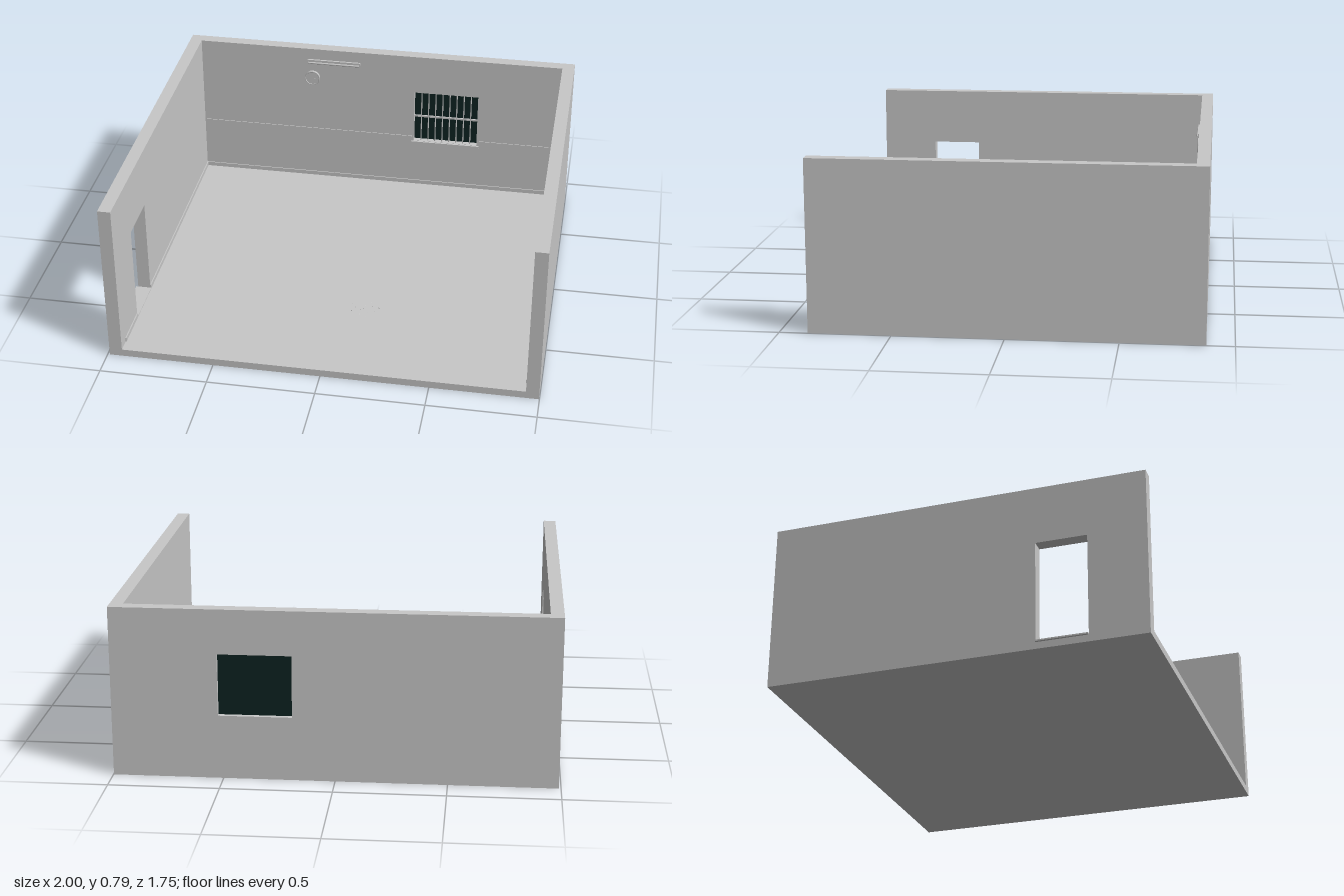
import * as THREE from 'three';

export function createModel() {
  const room = new THREE.Group();
  room.name = 'openRoom';

  const plaster = new THREE.MeshStandardMaterial({ color: 0xc8c8c8 });
  plaster.name = 'light grey plaster';
  const glass = new THREE.MeshStandardMaterial({ color: 0x0d2221 });
  glass.name = 'dark glass';

  // Adds a named box given by its limits on each axis
  function box(parent, name, [x0, x1], [y0, y1], [z0, z1], material = plaster) {
    const mesh = new THREE.Mesh(new THREE.BoxGeometry(x1 - x0, y1 - y0, z1 - z0), material);
    mesh.position.set((x0 + x1) / 2, (y0 + y1) / 2, (z0 + z1) / 2);
    mesh.name = name;
    parent.add(mesh);
    return mesh;
  }
  function group(name) {
    const g = new THREE.Group();
    g.name = name;
    room.add(g);
    return g;
  }

  const left = -0.99, right = 0.998, inL = -0.93, inR = 0.938;
  const back = -0.875, inB = -0.818, front = 0.872;
  const floorY = 0.035, top = 0.785;

  box(room, 'floor', [left, right], [0, floorY], [back, front]);

  // Solid wall on the +x side
  box(room, 'solidWall', [inR, right], [floorY, top], [inB, front]);

  // Wall on the -x side, built around the doorway
  const door = { z: [0.37, 0.605], top: 0.51 };
  const doorWall = group('doorWall');
  box(doorWall, 'wallBehindDoor', [left, inL], [floorY, top], [inB, door.z[0]]);
  box(doorWall, 'wallBeforeDoor', [left, inL], [floorY, top], [door.z[1], front]);
  box(doorWall, 'doorLintel', [left, inL], [door.top, top], door.z);
  box(doorWall, 'doorThreshold', [-1, -0.925], [0.032, 0.039], door.z);

  // Back wall, built around the window opening
  const win = { x: [0.19, 0.52], y: [0.295, 0.58] };
  const backWall = group('backWall');
  box(backWall, 'wallLeftOfWindow', [left, win.x[0]], [floorY, top], [back, inB]);
  box(backWall, 'wallRightOfWindow', [win.x[1], right], [floorY, top], [back, inB]);
  box(backWall, 'wallBelowWindow', win.x, [floorY, win.y[0]], [back, inB]);
  box(backWall, 'wallAboveWindow', win.x, [win.y[1], top], [back, inB]);

  // Window: pane, bars and sill
  const windowGroup = group('barredWindow');
  box(windowGroup, 'windowPane', win.x, win.y, [-0.854, -0.846], glass);
  const columns = 9;
  for (let i = 1; i < columns; i++) {
    const x = win.x[0] + (i / columns) * (win.x[1] - win.x[0]);
    const bar = new THREE.Mesh(new THREE.CylinderGeometry(0.003, 0.003, win.y[1] - win.y[0], 8), plaster);
    bar.position.set(x, (win.y[0] + win.y[1]) / 2, -0.832);
    bar.name = 'windowBar';
    windowGroup.add(bar);
  }
  box(windowGroup, 'crossBar', win.x, [0.433, 0.442], [-0.836, -0.828]);
  box(windowGroup, 'windowSill', [0.178, 0.532], [0.28, 0.294], [inB, -0.808]);

  // Thin rail at waist height, interrupted by the window
  for (const span of [[inL, 0.18], [0.532, inR]]) {
    box(room, 'wallRail', span, [0.316, 0.322], [inB, inB + 0.004]);
  }

  // Skirting along the inside of the walls
  const skirtY = [floorY, 0.056];
  box(room, 'backSkirting', [inL, inR], skirtY, [inB, inB + 0.005]);
  box(room, 'rightSkirting', [inR - 0.005, inR], skirtY, [inB, 0.81]);
  box(room, 'leftSkirting', [inL, inL + 0.005], skirtY, [inB, door.z[0]]);
  box(room, 'leftSkirting', [inL, inL + 0.005], skirtY, [door.z[1], 0.81]);

  // Strip lamp with its backing plate
  const lamp = group('stripLamp');
  box(lamp, 'lampPlate', [-0.37, -0.095], [0.714, 0.727], [inB, -0.808]);
  const tube = new THREE.Mesh(new THREE.CylinderGeometry(0.005, 0.005, 0.265, 12), plaster);
  tube.rotation.z = Math.PI / 2;
  tube.position.set(-0.2325, 0.711, -0.807);
  tube.name = 'lampTube';
  lamp.add(tube);

  // Wall clock with raised rim and two hands
  const clock = group('wallClock');
  clock.position.set(-0.345, 0.622, inB);
  const face = new THREE.Mesh(new THREE.CylinderGeometry(0.039, 0.039, 0.01, 32), plaster);
  face.rotation.x = Math.PI / 2;
  face.position.z = 0.005;
  face.name = 'clockFace';
  const rim = new THREE.Mesh(new THREE.TorusGeometry(0.037, 0.003, 8, 32), plaster);
  rim.position.z = 0.01;
  rim.name = 'clockRim';
  clock.add(face, rim);
  box(clock, 'hourHand', [0, 0.015], [-0.001, 0.001], [0.01, 0.012]);
  box(clock, 'minuteHand', [-0.001, 0.001], [0, 0.024], [0.01, 0.012]);

  // Small crumbs scattered on the floor
  const crumbs = group('floorCrumbs');
  for (let i = 0; i < 14; i++) {
    const a = i * 2.4, r = 0.02 * Math.sqrt(i);
    const crumb = new THREE.Mesh(new THREE.TetrahedronGeometry(0.003), plaster);
    crumb.position.set(0.12 + r * Math.cos(a), floorY + 0.001, 0.365 + r * Math.sin(a));
    crumb.rotation.y = a;
    crumb.name = 'crumb';
    crumbs.add(crumb);
  }

  return room;
}
